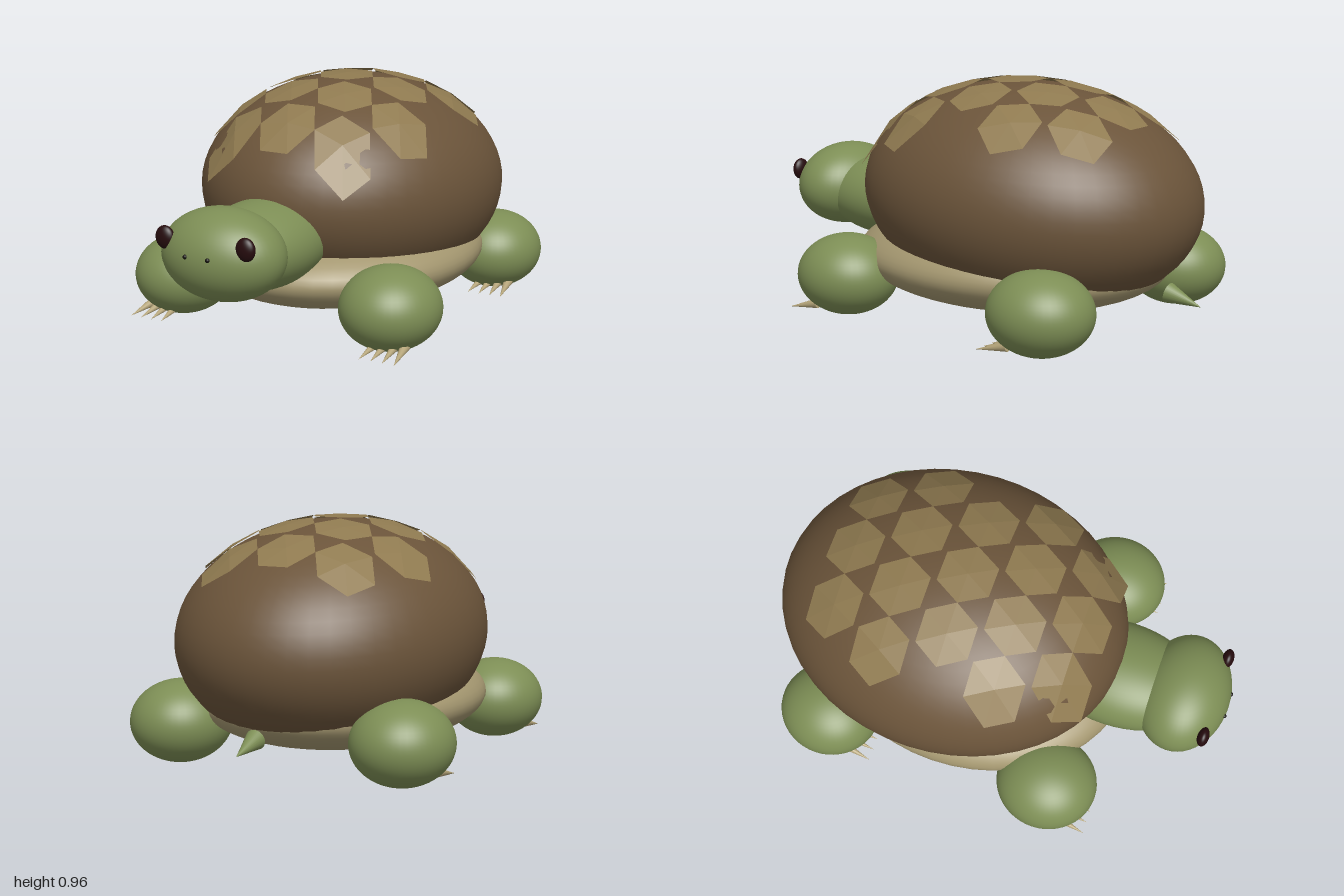
import * as THREE from 'three';

const paint = (name, color, extra = {}) => {
  const m = new THREE.MeshStandardMaterial({ color, ...extra });
  m.name = name;
  return m;
};

// Shell ellipsoid, tilted slightly so the front sits higher
const SHELL = { y: 0.503, z: -0.195, rx: 0.6, ry: 0.45, rz: 0.73, tilt: 0.06 };

// Height of the shell's upper surface above a point on the ground
function shellHeight(x, z) {
  const dz = z - SHELL.z;
  const rest = 1 - (x / SHELL.rx) ** 2 - (dz / SHELL.rz) ** 2;
  return SHELL.y + 0.036 * dz + SHELL.ry * Math.sqrt(Math.max(rest, 0.01));
}

export function createModel() {
  const skin = paint('green skin', 0x7d8e55);
  const shellBrown = paint('shell brown', 0x6b543a);
  const scuteTan = paint('scute tan', 0x8f7a50, { flatShading: true, side: THREE.DoubleSide });
  const bellyTan = paint('belly tan', 0xa3966f);
  const clawTan = paint('claw tan', 0xb5a57a);
  const eyeDark = paint('eye dark', 0x260c0e);
  const nostrilDark = paint('nostril dark', 0x14120c);

  const model = new THREE.Group();
  model.name = 'turtle';

  const ball = new THREE.SphereGeometry(1, 48, 32);
  const add = (name, geometry, material, position, scale = [1, 1, 1], parent = model) => {
    const mesh = new THREE.Mesh(geometry, material);
    mesh.name = name;
    mesh.position.set(...position);
    mesh.scale.set(...scale);
    parent.add(mesh);
    return mesh;
  };

  // Body
  const shell = add('shell', ball, shellBrown, [0, SHELL.y, SHELL.z], [SHELL.rx, SHELL.ry, SHELL.rz]);
  shell.rotation.x = -SHELL.tilt;
  add('belly', ball, bellyTan, [0, 0.236, -0.1], [0.565, 0.19, 0.68]);

  // Hexagonal scutes: fans laid over the shell in alternating rows of three and four
  const scutes = new THREE.Group();
  scutes.name = 'scutes';
  model.add(scutes);
  const radius = 0.123, lift = 0.015;
  for (let row = 0; row < 5; row++) {
    const count = row % 2 ? 4 : 3;
    for (let i = 0; i < count; i++) {
      const cx = (i - (count - 1) / 2) * radius * 2;
      const cz = -0.6 + row * 0.237;
      const points = [cx, shellHeight(cx, cz) + lift, cz];
      const index = [];
      for (let k = 0; k < 6; k++) {
        const a = k * Math.PI / 3;
        const x = cx + radius * Math.cos(a), z = cz + radius * Math.sin(a);
        points.push(x, shellHeight(x, z) + lift, z);
        index.push(0, 1 + (k + 1) % 6, 1 + k);
      }
      const g = new THREE.BufferGeometry();
      g.setAttribute('position', new THREE.Float32BufferAttribute(points, 3));
      g.setIndex(index);
      g.computeVertexNormals();
      add('scute', g, scuteTan, [0, 0, 0], [1, 1, 1], scutes);
    }
  }

  // Head and neck
  add('neck', ball, skin, [0, 0.398, 0.53], [0.223, 0.172, 0.36]);
  add('head', ball, skin, [0, 0.424, 0.808], [0.252, 0.178, 0.19]);
  for (const side of [-1, 1]) {
    add('eye', ball, eyeDark, [side * 0.176, 0.494, 0.934], [0.04, 0.045, 0.024]);
    add('nostril', new THREE.SphereGeometry(0.009, 12, 8), nostrilDark, [side * 0.049, 0.45, 0.991]);
  }

  // Legs with four claws each
  const clawGeometry = new THREE.ConeGeometry(0.02, 0.14, 16).rotateX(Math.PI / 2);
  for (const [name, z] of [['frontLeg', 0.38], ['backLeg', -0.59]]) {
    for (const side of [-1, 1]) {
      const leg = new THREE.Group();
      leg.name = name;
      leg.position.set(side * 0.477, 0, z);
      model.add(leg);
      add('foot', ball, skin, [0, 0.17, 0], [0.2, 0.165, 0.212], leg);
      for (let i = 0; i < 4; i++) {
        const x = side * (-0.018 + i * 0.044);
        const claw = add('claw', clawGeometry, clawTan, [x, 0.036, 0.145], [1, 1, 1], leg);
        claw.rotation.set(0.22, side * 0.08 * (i - 1), 0, 'YXZ');
      }
    }
  }

  // Tail: a small cone pointing back and slightly down
  const tail = add('tail', new THREE.ConeGeometry(0.04, 0.15, 24), skin, [0, 0.173, -0.925]);
  tail.quaternion.setFromUnitVectors(
    new THREE.Vector3(0, 1, 0), new THREE.Vector3(0, -0.24, -1).normalize());

  return model;
}
